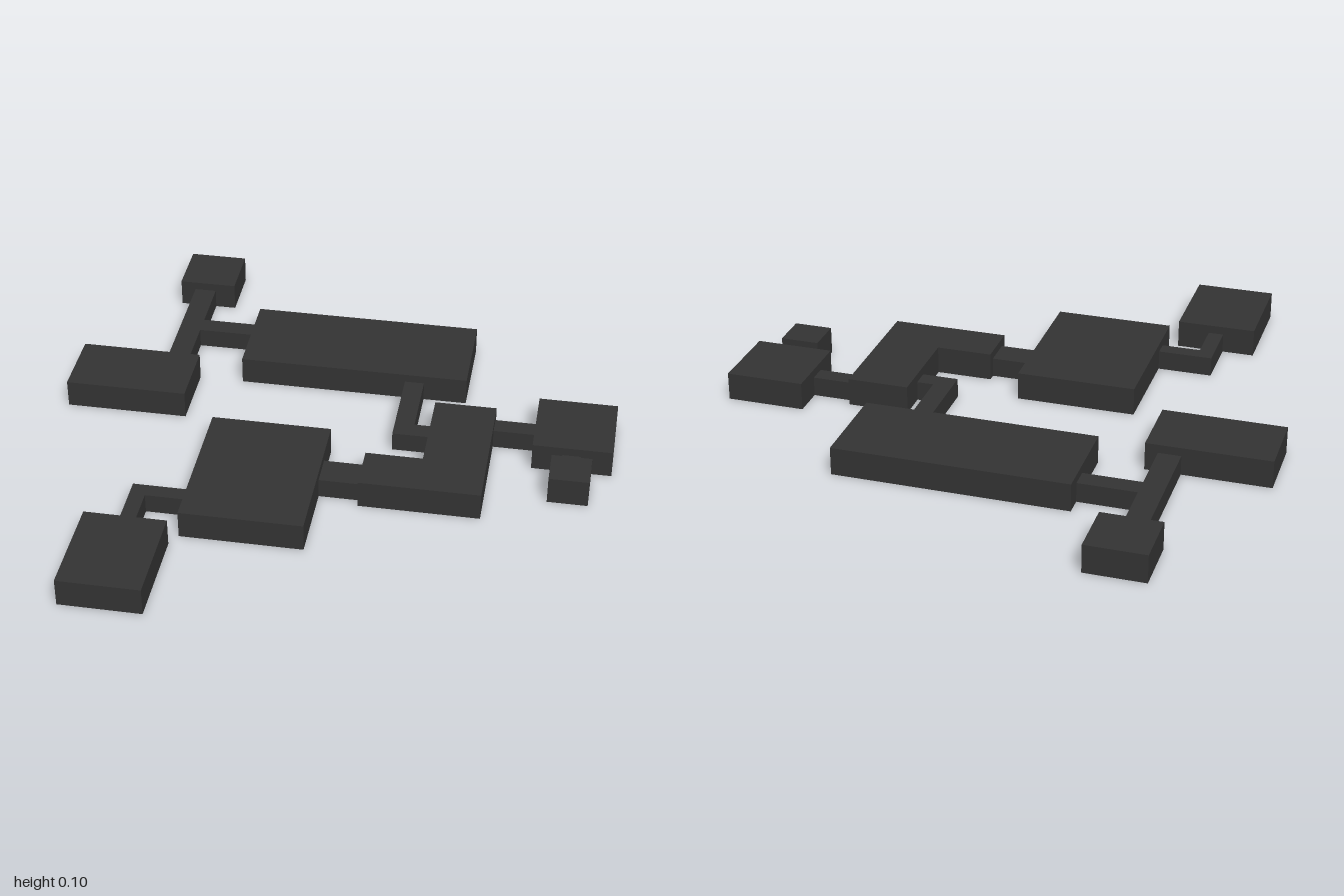
import * as THREE from 'three';

const ROOM_HEIGHT = 0.1;
const CORRIDOR_HEIGHT = 0.07;

export function createModel() {
  const model = new THREE.Group();
  model.name = 'floorPlan';
  const material = new THREE.MeshStandardMaterial({ color: 0x333333, flatShading: true });

  // Raises an outline of [x, z] corners from the ground
  function slab(name, height, outline) {
    const shape = new THREE.Shape(outline.map(([x, z]) => new THREE.Vector2(x, -z)));
    const geometry = new THREE.ExtrudeGeometry(shape, { depth: height, bevelEnabled: false });
    geometry.rotateX(-Math.PI / 2);
    const mesh = new THREE.Mesh(geometry, material);
    mesh.name = name;
    model.add(mesh);
  }
  const rect = (x0, x1, z0, z1) => [[x0, z0], [x1, z0], [x1, z1], [x0, z1]];

  // Rectangular rooms: x from, x to, z from, z to
  const rooms = {
    backRoom: [-0.735, -0.525, -1, -0.795],
    sideRoom: [-0.99, -0.555, -0.315, -0.065],
    longHall: [-0.395, 0.435, -0.655, -0.315],
    leftRoom: [0.705, 0.985, -0.25, 0.03],
    closet: [0.775, 0.915, 0.075, 0.21],
    mainRoom: [-0.425, 0, 0.055, 0.6],
    frontRoom: [-0.735, -0.45, 0.645, 1],
  };
  for (const [name, r] of Object.entries(rooms)) slab(name, ROOM_HEIGHT, rect(...r));

  // L-shaped room
  slab('cornerRoom', ROOM_HEIGHT, [
    [0.34, -0.165], [0.56, -0.165], [0.56, 0.34], [0.14, 0.34], [0.14, 0.17], [0.34, 0.17],
  ]);

  // Straight corridors
  const corridors = {
    leftCorridor: [0.56, 0.705, -0.135, -0.07],
    closetCorridor: [0.81, 0.875, 0.03, 0.075],
    mainCorridor: [0, 0.14, 0.2, 0.31],
  };
  for (const [name, r] of Object.entries(corridors)) slab(name, CORRIDOR_HEIGHT, rect(...r));

  // Branching and bent corridors
  slab('branchCorridor', CORRIDOR_HEIGHT, [
    [-0.68, -0.795], [-0.6, -0.795], [-0.6, -0.59], [-0.395, -0.59],
    [-0.395, -0.52], [-0.6, -0.52], [-0.6, -0.315], [-0.68, -0.315],
  ]);
  slab('hallCorridor', CORRIDOR_HEIGHT, [
    [0.21, -0.315], [0.28, -0.315], [0.28, -0.06], [0.34, -0.06], [0.34, 0.005], [0.21, 0.005],
  ]);
  slab('frontCorridor', CORRIDOR_HEIGHT, [
    [-0.62, 0.435], [-0.425, 0.435], [-0.425, 0.49], [-0.565, 0.49], [-0.565, 0.645], [-0.62, 0.645],
  ]);

  return model;
}
